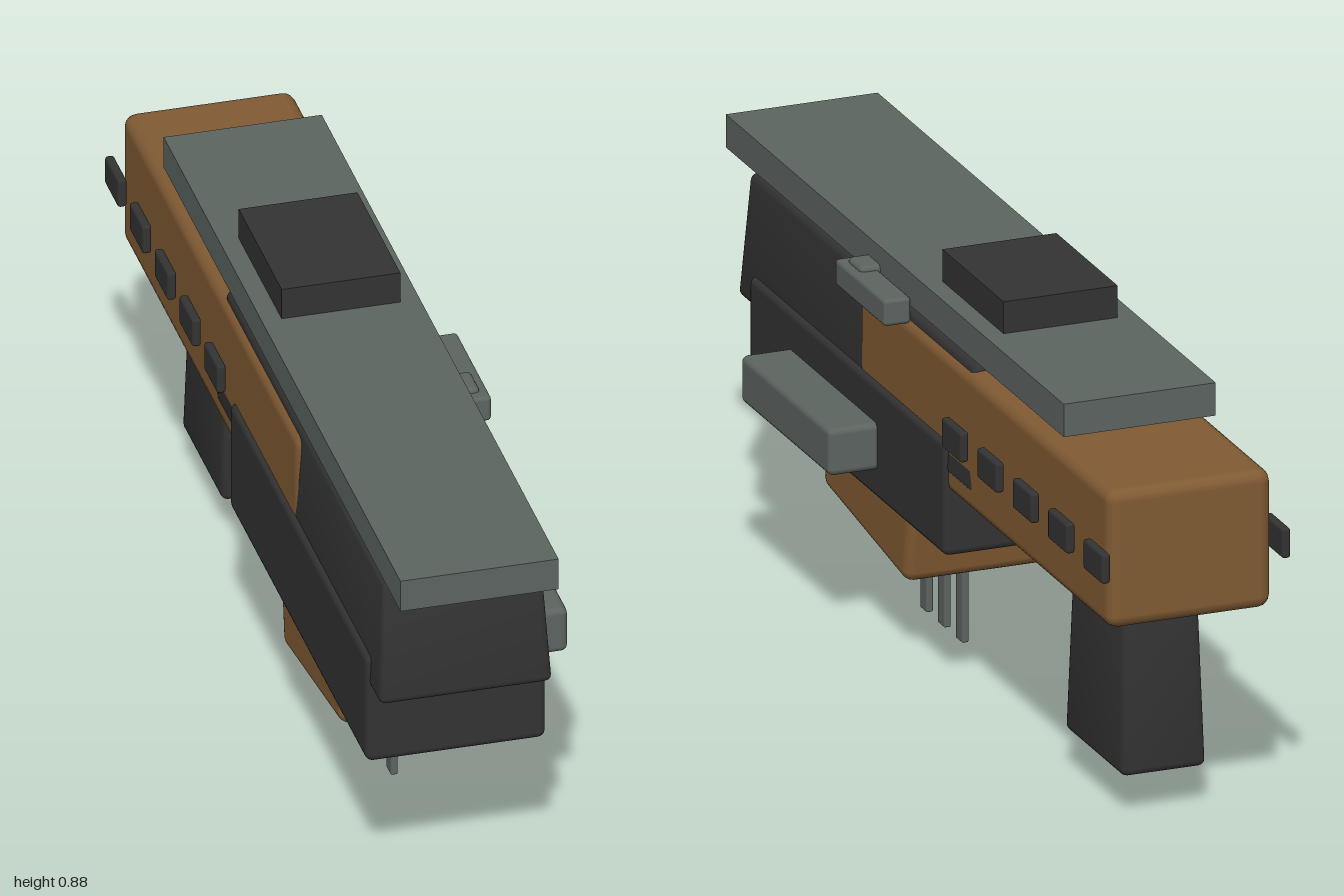
import * as THREE from 'three';
import { RoundedBoxGeometry } from 'three/addons/geometries/RoundedBoxGeometry.js';
import { toCreasedNormals } from 'three/addons/utils/BufferGeometryUtils.js';

const mat = (name, color) => new THREE.MeshStandardMaterial({ name, color });

// Box from its limits on each axis; a radius rounds its edges,
// taperX and taperZ scale the top relative to the bottom.
function block(name, material, [x0, x1], [y0, y1], [z0, z1], radius = 0, taperX = 1, taperZ = 1) {
  const w = x1 - x0, h = y1 - y0, d = z1 - z0;
  let geo = radius ? new RoundedBoxGeometry(w, h, d, 2, radius) : new THREE.BoxGeometry(w, h, d);
  if (taperX !== 1 || taperZ !== 1) {
    const p = geo.attributes.position;
    for (let i = 0; i < p.count; i++) {
      const t = p.getY(i) / h + 0.5;
      p.setX(i, p.getX(i) * (1 + (taperX - 1) * t));
      p.setZ(i, p.getZ(i) * (1 + (taperZ - 1) * t));
    }
    geo = toCreasedNormals(geo, 0.6);
  }
  const mesh = new THREE.Mesh(geo, material);
  mesh.name = name;
  mesh.position.set((x0 + x1) / 2, (y0 + y1) / 2, (z0 + z1) / 2);
  return mesh;
}

export function createModel() {
  const model = new THREE.Group();
  model.name = 'blaster';
  const wood = mat('brown wood', 0x805a33);
  const dark = mat('dark metal', 0x333333);
  const grey = mat('grey metal', 0x5c6460);
  const cx = -0.042; // middle plane of the body
  const wide = (half) => [cx - half, cx + half];

  // Body
  model.add(
    block('stock', wood, wide(0.169), [0.44, 0.722], [-0.97, 0.3], 0.025),
    block('upperReceiver', dark, wide(0.1715), [0.48, 0.737], [-0.285, 0.905], 0.014, 0.915, 0.955),
    block('lowerReceiver', dark, wide(0.178), [0.312, 0.546], [-0.16, 0.832], 0.015),
    block('rearGrip', dark, wide(0.087), [0.084, 0.47], [-0.837, -0.543], 0.014, 0.88, 0.88)
  );

  // Tilted front grip
  const grip = block('frontGrip', wood, wide(0.148), [0.187, 0.437], [0.092, 0.522], 0.022);
  grip.rotation.x = -0.14;
  model.add(grip);

  // Top rail with sight block
  model.add(
    block('topRail', grey, [-0.199, 0.114], [0.745, 0.812], [-0.71, 1]),
    block('sightBlock', dark, [-0.16, 0.075], [0.81, 0.877], [-0.31, 0])
  );

  // Side fittings on the left
  model.add(
    block('sideMagazine', grey, [0.06, 0.235], [0.372, 0.468], [0.18, 0.63], 0.013),
    block('lever', grey, [0.115, 0.171], [0.711, 0.765], [0.058, 0.31], 0.008),
    block('leverKnob', grey, [-0.005, 0.154], [0.702, 0.775], [0.218, 0.288], 0.01)
  );

  // Rows of plates along both sides of the stock
  for (const side of [-1, 1]) {
    for (let i = 0; i < 5; i++) {
      const x = cx + side * 0.186, z = -0.234 - i * 0.179;
      model.add(block('sidePlate', dark, [x - 0.009, x + 0.009], [0.549, 0.61], [z - 0.049, z + 0.049], 0.006));
    }
  }

  // Rods under the front grip
  for (const z of [0.367, 0.277, 0.187]) {
    model.add(block('rod', grey, wide(0.007), [0, 0.25], [z - 0.017, z + 0.017], 0.003));
  }
  return model;
}
